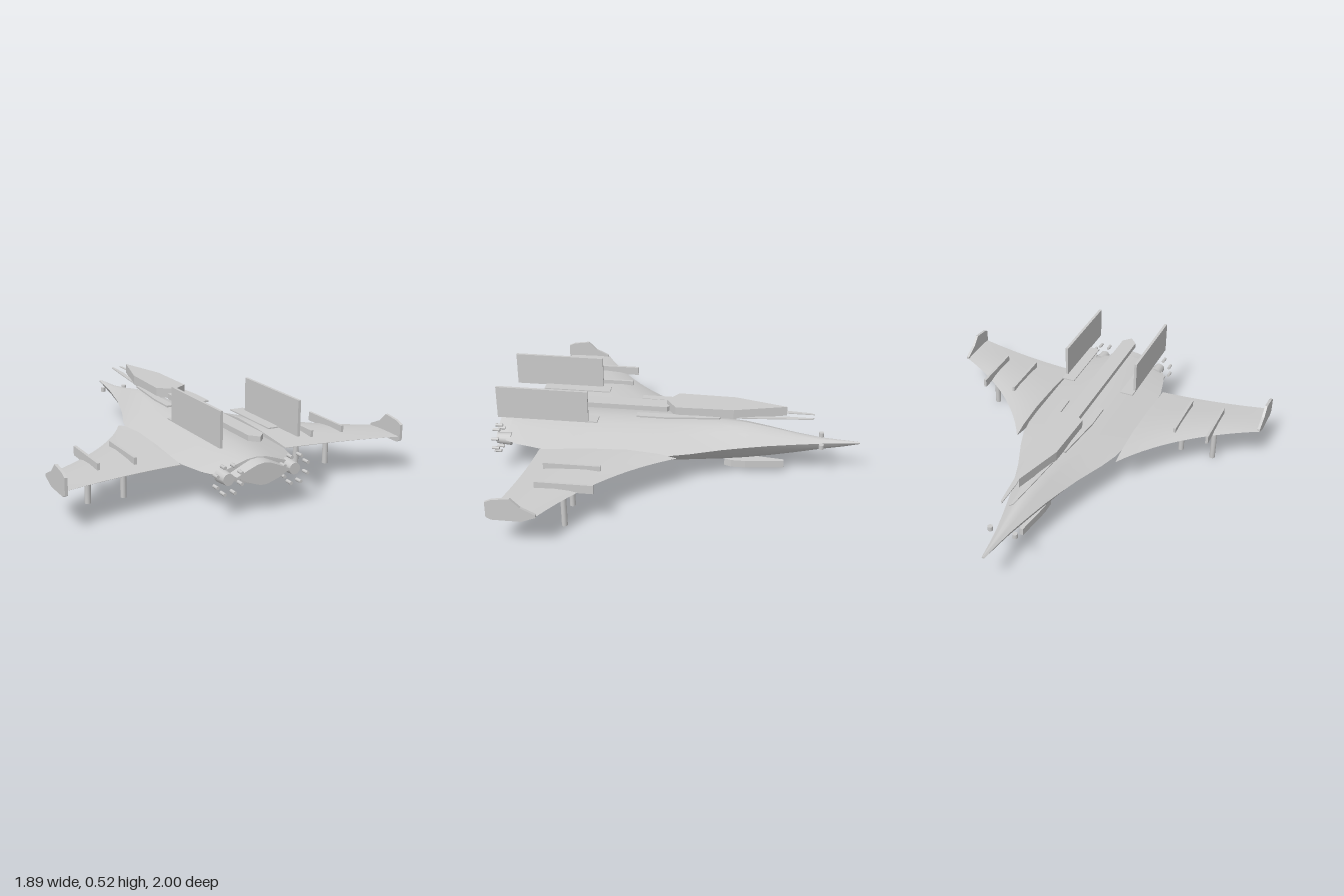
import * as THREE from 'three';
import { toCreasedNormals } from 'three/addons/utils/BufferGeometryUtils.js';

const material = new THREE.MeshStandardMaterial({ color: 0xcccccc, side: THREE.DoubleSide });

// Skin a list of closed rings of [x, y, z], with flat caps at both ends.
function loft(rings, crease) {
  const n = rings[0].length, index = [];
  for (let i = 0; i < rings.length - 1; i++) {
    for (let j = 0; j < n; j++) {
      const a = i * n + j, b = i * n + (j + 1) % n;
      index.push(a, b, b + n, a, b + n, a + n);
    }
  }
  const last = (rings.length - 1) * n;
  for (let j = 1; j < n - 1; j++) {
    index.push(0, j + 1, j, last, last + j, last + j + 1);
  }
  const g = new THREE.BufferGeometry();
  g.setAttribute('position', new THREE.Float32BufferAttribute(rings.flat(2), 3));
  g.setIndex(index);
  return toCreasedNormals(g, crease);
}

// Horizontal plate from an [x, z] outline, between two heights.
function plate(outline, y0, y1) {
  const shape = new THREE.Shape(outline.map(([x, z]) => new THREE.Vector2(x, -z)));
  const g = new THREE.ExtrudeGeometry(shape, { depth: y1 - y0, bevelEnabled: false });
  return g.rotateX(-Math.PI / 2).translate(0, y0, 0);
}

// Complete a half outline, listed front to back, on the other side.
const mirrored = (half) => [...half, ...half.filter(p => p[0] > 0).reverse().map(([x, z]) => [-x, z])];

// Fuselage stations: [z, half width, top, bottom].
const stations = [
  [-1, 0.008, 0.209, 0.197], [-0.9, 0.02, 0.214, 0.173], [-0.79, 0.036, 0.22, 0.152],
  [-0.65, 0.066, 0.24, 0.122], [-0.5, 0.102, 0.268, 0.093], [-0.38, 0.138, 0.287, 0.074],
  [-0.26, 0.177, 0.293, 0.06], [-0.09, 0.245, 0.291, 0.05], [0.02, 0.28, 0.288, 0.048],
  [0.12, 0.296, 0.286, 0.051], [0.25, 0.301, 0.284, 0.06], [0.4, 0.302, 0.281, 0.077],
  [0.55, 0.301, 0.278, 0.097], [0.71, 0.292, 0.274, 0.115], [0.85, 0.258, 0.268, 0.125],
  [0.93, 0.222, 0.265, 0.13], [0.931, 0.15, 0.26, 0.135], [1, 0.148, 0.255, 0.145],
];

// Angular cross-section with a chine at mid height and a soft keel.
function fuselageRing([z, w, top, bottom]) {
  const mid = 0.203, h = top - mid, d = mid - bottom;
  const half = [[0.5, 0.62], [0.25, 0.9]];
  const low = [[0.15, -0.96], [0.38, -0.77], [0.62, -0.54]];
  const pts = [[1, 0], ...half, [0, 1], ...half.slice().reverse().map(([x, y]) => [-x, y]),
    [-1, 0], ...low.slice().reverse().map(([x, y]) => [-x, y]), [0, -1], ...low];
  return pts.map(([x, y]) => [x * w, mid + y * (y > 0 ? h : d), z]);
}

// Swept wing: curved edges, sharp-edged section thinning to the tip.
function wingGeometry(side) {
  const v = (x, z) => new THREE.Vector2(x, z);
  const lead = new THREE.QuadraticBezierCurve(v(0.3, -0.03), v(0.5, 0.333), v(0.938, 0.57));
  const trail = new THREE.QuadraticBezierCurve(v(0.3, 0.72), v(0.62, 0.735), v(0.938, 0.82));
  const section = [[0, 0], [0.12, 0.6], [0.35, 1], [0.65, 0.75], [1, 0.05]];
  const rings = [];
  for (let i = 0; i <= 14; i++) {
    const a = lead.getPoint(i / 14);
    // Trailing edge point at the same span position.
    const s = (a.x - 0.3) / 0.638;
    const b = trail.getPoint(s);
    const t = 0.03 * (1 - s) + 0.004;
    const at = (c, y) => [side * a.x, 0.204 + y * t, a.y + c * (b.y - a.y)];
    rings.push([...section.map(([c, y]) => at(c, y)),
      ...section.slice(1).reverse().map(([c, y]) => at(c, -y))]);
  }
  return loft(side > 0 ? rings : rings.reverse(), 0.5);
}

// Upright wingtip plate, outline in [z, y].
function tipGeometry() {
  const outline = [[0.826, 0.27], [0.79, 0.286], [0.70, 0.298], [0.65, 0.25], [0.575, 0.215],
    [0.575, 0.2], [0.65, 0.172], [0.8, 0.172], [0.826, 0.185]];
  const shape = new THREE.Shape(outline.map(([z, y]) => new THREE.Vector2(z, y)));
  return new THREE.ExtrudeGeometry(shape, { depth: 0.015, bevelEnabled: false })
    .rotateY(-Math.PI / 2).translate(0.0075, 0, 0);
}

export function createModel() {
  const model = new THREE.Group();
  model.name = 'aircraft';
  const add = (name, geometry, x = 0, y = 0, z = 0, parent = model) => {
    const mesh = new THREE.Mesh(geometry, material);
    mesh.name = name;
    mesh.position.set(x, y, z);
    parent.add(mesh);
    return mesh;
  };
  const box = (w, h, d) => new THREE.BoxGeometry(w, h, d);

  add('fuselage', loft(stations.map(fuselageRing), 0.45));

  // Raised plates along the centreline
  add('canopy', plate(mirrored([[0, -0.595], [0.078, -0.31], [0.086, 0.005], [0, 0.065]]), 0.345, 0.398));
  add('spine', plate(mirrored([[0, 0.03], [0.042, 0.06], [0.042, 0.915], [0, 0.96]]), 0.345, 0.373));
  add('chinPod', plate(mirrored([[0.01, -0.59], [0.036, -0.377], [0.036, -0.3], [0.02, -0.26]]), 0.02, 0.062));
  add('bellyVent', box(0.08, 0.012, 0.06), 0, 0.103, 0.56);

  for (const s of [1, -1]) {
    const label = s > 0 ? 'left' : 'right';
    const flip = (pts) => pts.map(([x, z]) => [s * x, z]);

    add(label + 'Wing', wingGeometry(s));
    add(label + 'WingtipPlate', tipGeometry(), s * 0.938);

    // Rails above the wing and pylons below it
    for (const x of [0.507, 0.698]) {
      add(label + 'WingRail', box(0.015, 0.048, 0.305), s * x, 0.226, 0.493);
      add(label + 'WingPylon', new THREE.CylinderGeometry(0.016, 0.016, 0.165, 10), s * x, 0.0825, 0.498);
    }

    // Tail fin on its thin base plate
    add(label + 'TailFin', box(0.015, 0.18, 0.5), s * 0.213, 0.435, 0.712);
    add(label + 'FinBase', box(0.074, 0.006, 0.38), s * 0.183, 0.348, 0.604);

    // Thin strips beside the canopy
    add(label + 'NoseStrip', plate(flip([[0.022, -0.745], [0.034, -0.73], [0.055, -0.52],
      [0.072, -0.33], [0.06, -0.3], [0.022, -0.58]]), 0.345, 0.35));
    add(label + 'ShoulderStrip', plate(flip([[0.085, -0.24], [0.095, -0.235], [0.125, 0.06],
      [0.125, 0.215], [0.085, 0.215], [0.08, 0]]), 0.345, 0.354));

    add(label + 'NoseSensor', new THREE.CylinderGeometry(0.014, 0.014, 0.025, 12), s * 0.07, 0.203, -0.79);

    // Engine nozzle ringed by small thrusters
    const engine = new THREE.Group();
    engine.name = label + 'Engine';
    engine.position.set(s * 0.183, 0.193, 0);
    model.add(engine);
    add('nozzle', new THREE.CylinderGeometry(0.03, 0.036, 0.08, 12).rotateX(Math.PI / 2), 0, 0, 0.945, engine);
    for (let i = 0; i < 8; i++) {
      const a = (i + 0.5) * Math.PI / 4;
      add('thruster', new THREE.CylinderGeometry(0.009, 0.009, 0.04, 8).rotateX(Math.PI / 2),
        0.071 * Math.cos(a), 0.071 * Math.sin(a), 0.98, engine);
    }
  }
  // Slight sideways offset of the whole airframe
  for (const part of model.children) part.position.x -= part.name.endsWith('WingtipPlate') ? 0 : 0.007;
  return model;
}
